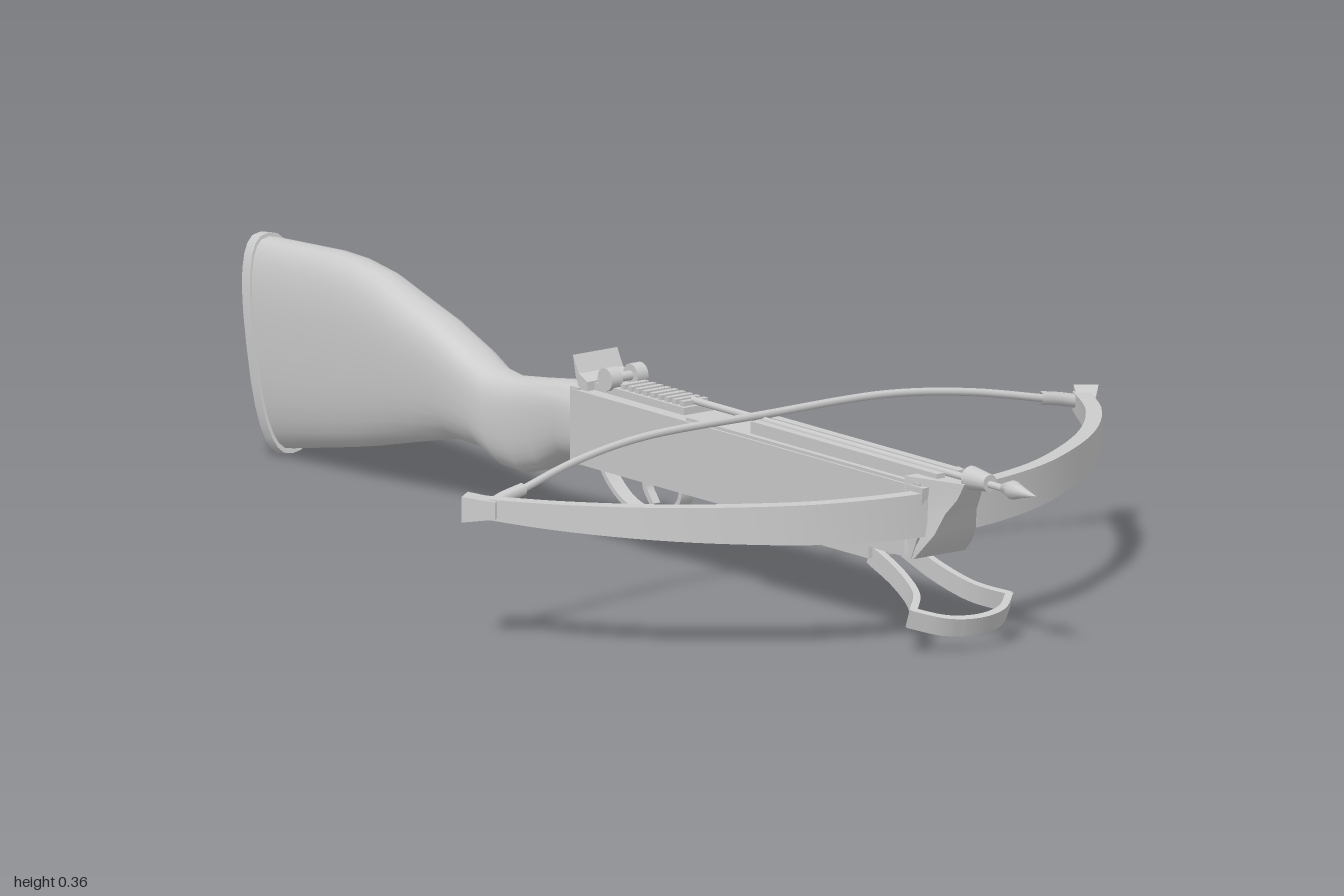
import * as THREE from 'three';
import { toCreasedNormals } from 'three/addons/utils/BufferGeometryUtils.js';

const V = (x, y, z) => new THREE.Vector3(x, y, z);
const material = new THREE.MeshStandardMaterial({ color: 0xcccccc });

// Closed skin through equal-sized rings, capped at both ends
function loft(rings, crease = 0.6) {
  const pos = [];
  const tri = (...p) => p.forEach(v => pos.push(v.x, v.y, v.z));
  const n = rings[0].length;
  const mid = r => r.reduce((s, p) => s.add(p), V(0, 0, 0)).divideScalar(n);
  const first = rings[0], last = rings[rings.length - 1];
  const c0 = mid(first), c1 = mid(last);
  for (let j = 0; j < n; j++) {
    const k = (j + 1) % n;
    for (let i = 0; i < rings.length - 1; i++) {
      const a = rings[i], b = rings[i + 1];
      tri(a[j], b[j], a[k]);
      tri(a[k], b[j], b[k]);
    }
    tri(c0, first[j], first[k]);
    tri(c1, last[k], last[j]);
  }
  const g = new THREE.BufferGeometry();
  g.setAttribute('position', new THREE.Float32BufferAttribute(pos, 3));
  return toCreasedNormals(g, crease);
}

// Flat strip following a path in the xz plane, upright along y
function ribbon(points, half, thick, steps = 24) {
  const curve = new THREE.CatmullRomCurve3(points);
  const rings = [];
  for (let i = 0; i <= steps; i++) {
    const t = i / steps, p = curve.getPointAt(t), d = curve.getTangentAt(t);
    const o = V(-d.z, 0, d.x).normalize().multiplyScalar(thick / 2);
    const h = V(0, half(t), 0);
    rings.push([p.clone().add(o).sub(h), p.clone().add(o).add(h),
      p.clone().sub(o).add(h), p.clone().sub(o).sub(h)]);
  }
  return loft(rings);
}

// Oval section spanning a top and a bottom point
function oval([zt, yt, zb, yb, w], n = 28) {
  const pw = v => Math.sign(v) * Math.abs(v) ** 0.75;
  return Array.from({ length: n }, (_, i) => {
    const a = i / n * Math.PI * 2, s = (pw(Math.sin(a)) + 1) / 2;
    return V(w * pw(Math.cos(a)), yb + (yt - yb) * s, zb + (zt - zb) * s);
  });
}

// Outline given as [z, y] pairs, extruded sideways along +x
const outline = (pts, C = THREE.Shape) => new C(pts.map(([z, y]) => new THREE.Vector2(-z, y)));
const rect = (z0, z1, y0, y1) => [[z0, y0], [z1, y0], [z1, y1], [z0, y1]];
function sideExtrude(pts, holes, depth) {
  const s = outline(pts);
  s.holes = holes.map(h => outline(h, THREE.Path));
  return new THREE.ExtrudeGeometry(s, { depth, bevelEnabled: false }).rotateY(Math.PI / 2);
}

export function createModel() {
  const model = new THREE.Group();
  const add = (name, geo, x = 0, y = 0, z = 0) => {
    const m = new THREE.Mesh(geo, material);
    m.name = name;
    m.position.set(x, y, z);
    model.add(m);
    return m;
  };
  const box = (name, w, h, d, x, y, z) => add(name, new THREE.BoxGeometry(w, h, d), x, y, z);
  const rod = (name, r0, r1, len, x, y, z, n = 14) =>
    add(name, new THREE.CylinderGeometry(r0, r1, len, n).rotateX(Math.PI / 2), x, y, z);

  // Shoulder stock and butt plate
  const stock = [
    [-0.12, 0.265, -0.12, 0.145, 0.046], [-0.2, 0.26, -0.19, 0.138, 0.043],
    [-0.27, 0.25, -0.25, 0.105, 0.04], [-0.34, 0.241, -0.3, 0.09, 0.04],
    [-0.39, 0.247, -0.35, 0.092, 0.043], [-0.44, 0.27, -0.4, 0.113, 0.048],
    [-0.52, 0.302, -0.47, 0.115, 0.051], [-0.6, 0.327, -0.55, 0.097, 0.052],
    [-0.67, 0.35, -0.62, 0.08, 0.052], [-0.74, 0.361, -0.69, 0.063, 0.052],
    [-0.8, 0.363, -0.75, 0.05, 0.052], [-0.98, 0.354, -0.915, 0.018, 0.05]];
  add('stock', loft(stock.map(s => oval(s))));
  add('buttPlate', loft([[-0.977, 0.36, -0.915, 0.01, 0.054],
    [-0.998, 0.358, -0.934, 0.006, 0.054]].map(s => oval(s))));

  // Fore-end: core with framed side panels
  const side = [[-0.13, 0.145], [0.745, 0.145], [0.765, 0.19], [0.775, 0.265], [-0.13, 0.265]];
  add('bodyCore', sideExtrude(side, [], 0.092), -0.046);
  const panel = [[0.18, 0.165], [0.69, 0.165], [0.71, 0.18], [0.71, 0.24], [0.18, 0.24]];
  for (const x of [-0.054, 0.046]) add('sideFrame', sideExtrude(side, [panel], 0.008), x);
  box('bottomPlate', 0.1, 0.022, 0.32, 0, 0.135, 0.47);

  // Nose narrowing towards the top, and the bolt ring above it
  const nose = [[0.145, 0.052, 0.75], [0.165, 0.05, 0.77], [0.19, 0.042, 0.79],
    [0.225, 0.032, 0.805], [0.25, 0.024, 0.825], [0.278, 0.02, 0.84]];
  add('nose', loft(nose.map(([y, w, z]) =>
    [V(-0.055, y, 0.73), V(0.055, y, 0.73), V(w, y, z), V(-w, y, z)]), 0.5));
  rod('boltRing', 0.014, 0.02, 0.05, 0, 0.285, 0.855);

  // Ribbed vent plate on the left side
  const slots = Array.from({ length: 7 }, (_, i) => {
    const z = -0.078 + i * 0.026;
    return rect(z - 0.009, z + 0.009, 0.18, 0.238);
  });
  const ventRim = [[-0.1, 0.178], [-0.092, 0.17], [0.092, 0.17], [0.1, 0.178],
    [0.1, 0.24], [0.092, 0.248], [-0.092, 0.248], [-0.1, 0.24]];
  add('ventPlate', sideExtrude(ventRim, slots, 0.012), 0.052);

  // Grooved rail and the bolt lying in it
  for (const s of [-1, 1]) {
    box('railSide', 0.016, 0.022, 0.48, s * 0.021, 0.275, 0.54);
    box('railEdge', 0.01, 0.006, 0.6, s * 0.045, 0.267, 0.46);
  }
  rod('boltShaft', 0.006, 0.006, 0.83, 0, 0.283, 0.53, 10);
  add('boltHead', new THREE.LatheGeometry([[0, 0], [0.007, 0], [0.016, 0.025], [0.01, 0.045], [0, 0.085]]
    .map(p => new THREE.Vector2(...p)), 10).rotateX(Math.PI / 2), 0, 0.285, 0.915);

  // Receiver, ridged top and rear sight
  box('receiverPlate', 0.06, 0.014, 0.26, 0, 0.27, 0);
  for (let i = 0; i < 9; i++) box('receiverRidge', 0.05, 0.01, 0.01, 0, 0.28, -0.035 + i * 0.019);
  add('rearSight', sideExtrude([[-0.1, 0.26], [-0.1, 0.28], [-0.122, 0.29], [-0.137, 0.318],
    [-0.13, 0.285], [-0.118, 0.26]], [], 0.09), -0.045);
  box('rearCollar', 0.104, 0.125, 0.02, 0, 0.206, -0.125);
  for (const x of [-0.026, 0.026])
    add('sightKnob', new THREE.CylinderGeometry(0.019, 0.019, 0.022, 14).rotateZ(Math.PI / 2), x, 0.289, -0.065);
  add('sightAxle', new THREE.CylinderGeometry(0.008, 0.008, 0.07, 10).rotateZ(Math.PI / 2), 0, 0.289, -0.065);

  // Trigger and its guard, laid flat as strips then turned upright
  const guard = [[0.15, 0.098], [0.118, 0.096], [0.092, 0.065], [0.079, 0.01],
    [0.087, -0.045], [0.112, -0.085], [0.15, -0.118]].map(([y, z]) => V(y, 0, z));
  add('triggerGuard', ribbon(guard, () => 0.013, 0.008).rotateZ(Math.PI / 2));
  const trigger = [[0.15, 0.005], [0.125, -0.002], [0.095, 0.018]].map(([y, z]) => V(y, 0, z));
  add('trigger', ribbon(trigger, () => 0.007, 0.01, 8).rotateZ(Math.PI / 2));

  // Bow limbs: a deep strip tapering to the tips
  const half = [[0.61, 0.236, 0.34], [0.545, 0.233, 0.455], [0.45, 0.229, 0.565],
    [0.34, 0.225, 0.65], [0.2, 0.221, 0.722]];
  const bow = [...half.map(([x, y, z]) => V(-x, y, z)), V(0, 0.22, 0.762),
    ...half.slice().reverse().map(p => V(...p))];
  add('bow', ribbon(bow, t => 0.036 - 0.02 * Math.abs(2 * t - 1) ** 1.6, 0.026, 48));

  // Flared tips, string loops and string
  for (const s of [-1, 1]) {
    const tip = add('bowTip', loft([[0.03, 0.014, 0.015], [-0.025, 0.021, 0.02]].map(([z, h, w]) =>
      [V(w, -h, z), V(w, h, z), V(-w, h, z), V(-w, -h, z)])), s * 0.616, 0.236, 0.347);
    tip.rotation.y = -s * 0.65;
    const loop = new THREE.CatmullRomCurve3([V(s * 0.6, 0.238, 0.352), V(s * 0.565, 0.246, 0.345), V(s * 0.525, 0.253, 0.342)]);
    add('stringLoop', new THREE.TubeGeometry(loop, 8, 0.011, 8));
  }
  const string = [[0.6, 0.238, 0.352], [0.53, 0.252, 0.343], [0.4, 0.276, 0.318], [0.25, 0.291, 0.3]];
  const stringPath = new THREE.CatmullRomCurve3([...string.map(([x, y, z]) => V(-x, y, z)),
    V(0, 0.292, 0.296), ...string.slice().reverse().map(p => V(...p))]);
  add('bowString', new THREE.TubeGeometry(stringPath, 48, 0.0065, 8));

  // Foot stirrup sloping down and forward
  const stirrup = new THREE.Group();
  stirrup.name = 'stirrup';
  stirrup.position.set(0, 0.128, 0.62);
  stirrup.rotation.x = 0.34;
  const strip = (name, pts) => {
    const m = new THREE.Mesh(ribbon(pts.map(([x, z]) => V(x, 0, z)), () => 0.016, 0.012), material);
    m.name = name;
    stirrup.add(m);
  };
  for (const s of [-1, 1])
    strip('stirrupLeg', [[s * 0.035, 0], [s * 0.04, 0.08], [s * 0.06, 0.15], [s * 0.1, 0.195]]);
  strip('stirrupBar', [[-0.1, 0.19], [-0.055, 0.228], [0, 0.24], [0.055, 0.228], [0.1, 0.19]]);
  model.add(stirrup);
  return model;
}
